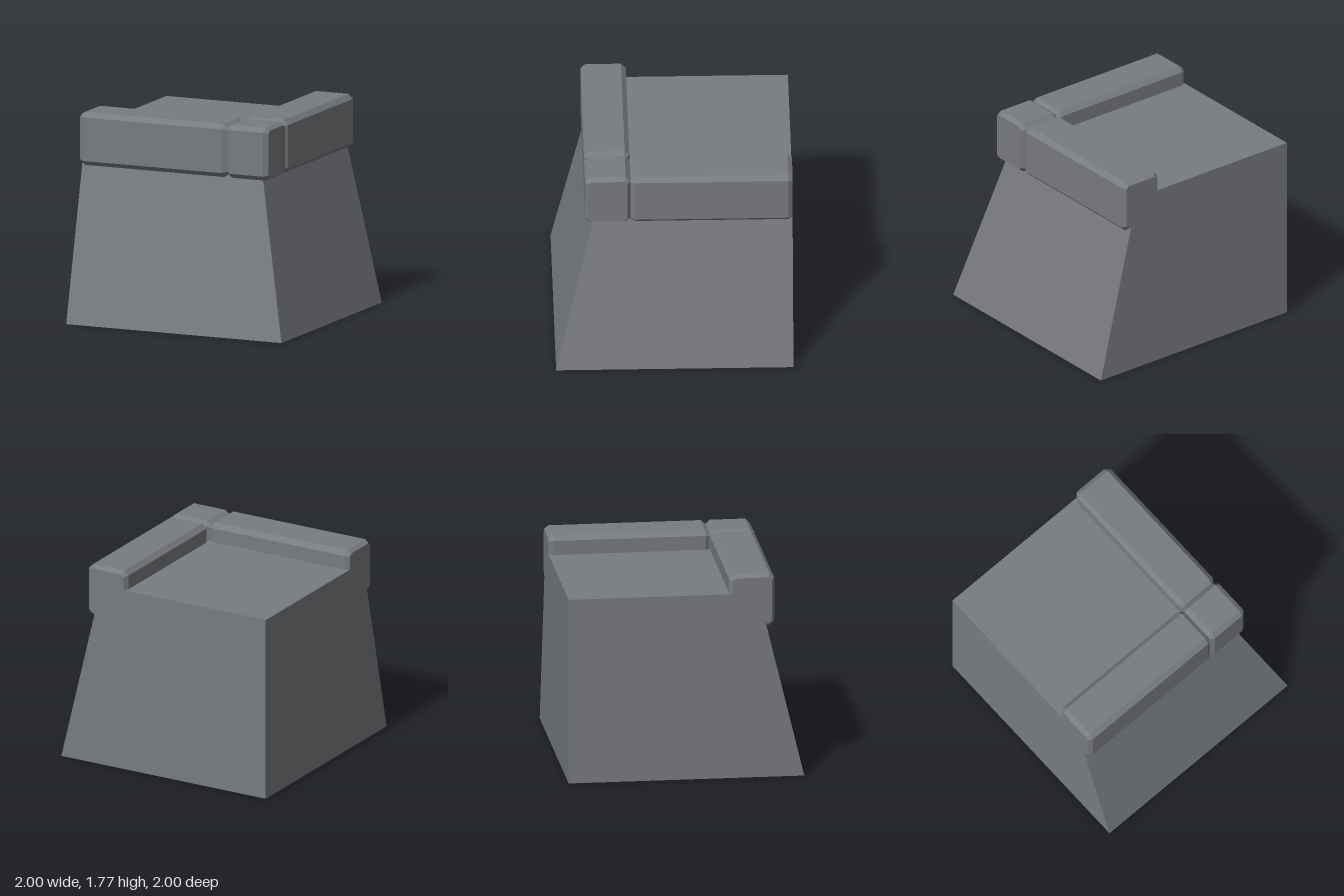
import * as THREE from 'three';

const material = new THREE.MeshStandardMaterial({ color: 0x787b80, flatShading: true });

// Octagonal bar along z, centred on the origin, with chamfered ends
function chamferedBar(width, height, length) {
  const w = width / 2, h = height / 2, c = 0.04, end = 0.038, inset = 0.026;
  const profile = new THREE.Shape([
    [w, -h + c], [w, h - c], [w - c, h], [-w + c, h],
    [-w, h - c], [-w, -h + c], [-w + c, -h], [w - c, -h],
  ].map(([x, y]) => new THREE.Vector2(x, y)));
  const geometry = new THREE.ExtrudeGeometry(profile, {
    depth: length - 2 * end, bevelEnabled: true, bevelSegments: 1,
    bevelThickness: end, bevelSize: inset, bevelOffset: -inset,
  });
  return geometry.translate(0, 0, end - length / 2);
}

export function createModel() {
  const model = new THREE.Group();
  model.name = 'wallCorner';

  // Body: block whose front and left walls lean inwards
  const height = 1.61, topEdge = 0.61;
  const body = new THREE.BoxGeometry(2, height, 2).translate(0, height / 2, 0);
  const p = body.attributes.position;
  for (let i = 0; i < p.count; i++) {
    if (p.getY(i) < 0.1) continue;
    p.setX(i, Math.min(p.getX(i), topEdge));
    p.setZ(i, Math.min(p.getZ(i), topEdge));
  }
  body.computeVertexNormals();
  const wall = new THREE.Mesh(body, material);
  wall.name = 'slopedWall';
  model.add(wall);

  // Coping stones: two long ones meeting at a corner block
  const inner = 0.367, outer = 0.75, bottom = 1.319, top = 1.773;
  const mid = (inner + outer) / 2, y = (bottom + top) / 2;
  const stones = [
    { name: 'frontCoping', length: inner + 1, x: (inner - 1) / 2, z: mid, alongX: true },
    { name: 'leftCoping', length: inner + 1, x: mid, z: (inner - 1) / 2, alongX: false },
    { name: 'cornerCoping', length: outer - inner, x: mid, z: mid, alongX: true },
  ];
  for (const s of stones) {
    const stone = new THREE.Mesh(chamferedBar(outer - inner, top - bottom, s.length), material);
    stone.name = s.name;
    stone.position.set(s.x, y, s.z);
    if (s.alongX) stone.rotation.y = Math.PI / 2;
    model.add(stone);
  }
  return model;
}
